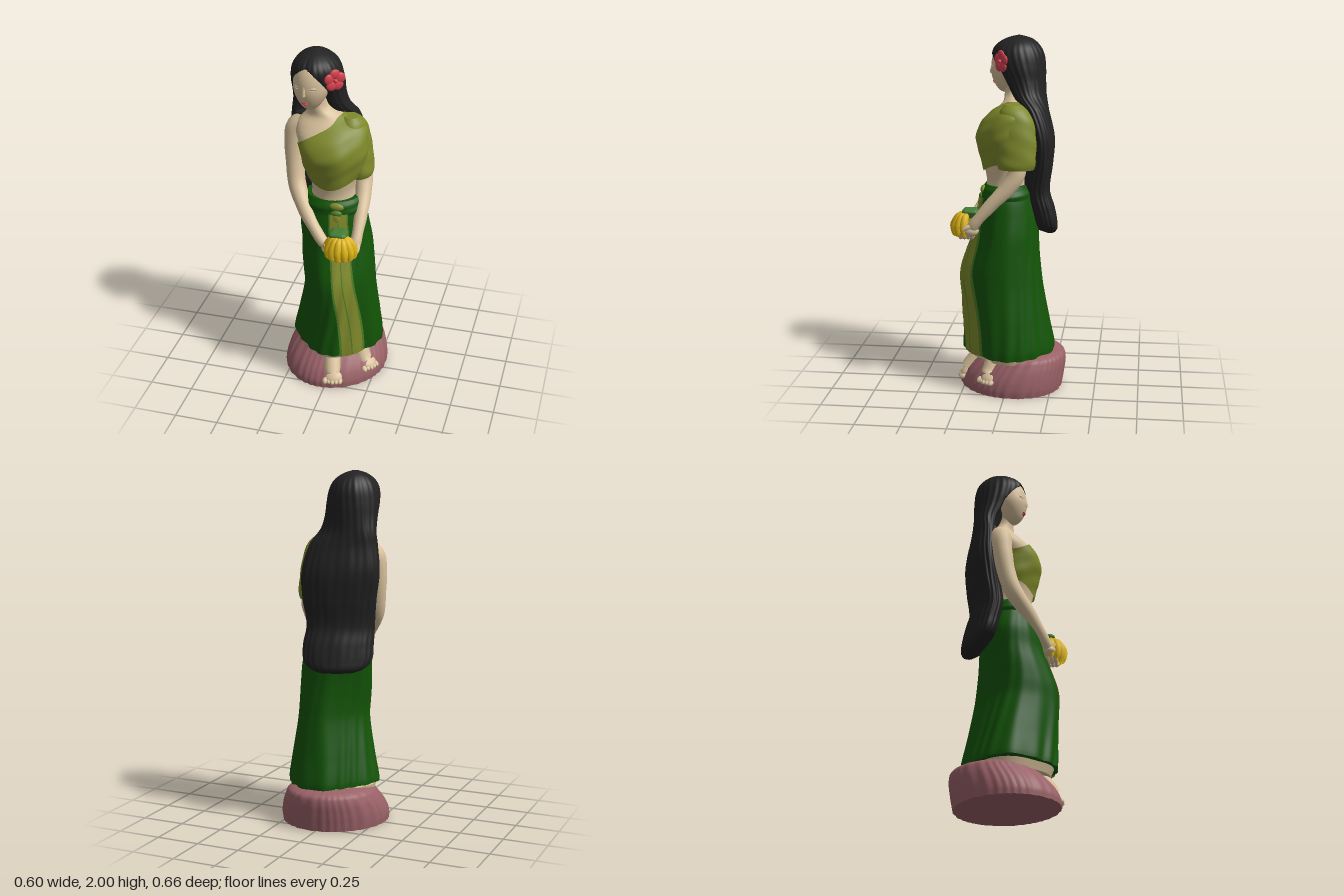
import * as THREE from 'three';

const mat = (name, color, side = THREE.FrontSide) => {
  const m = new THREE.MeshStandardMaterial({ color, side });
  m.name = name;
  return m;
};
const clamp = (v) => Math.min(1, Math.max(0, v));
const smooth = (v) => { const t = clamp(v); return t * t * (3 - 2 * t); };
const bump = (v, centre, width) => Math.exp(-(((v - centre) / width) ** 2));

// Smoothly interpolate cross-sections [y, cx, cz, rx, rz, turn] listed upwards
function sectionAt(s, y) {
  const n = s.length - 1;
  let i = 0;
  while (i < n - 1 && y > s[i + 1][0]) i++;
  const h = s[i + 1][0] - s[i][0], t = clamp((y - s[i][0]) / h);
  const val = (j, k) => s[j][k] || 0;
  const slope = (j, k) => {
    const a = Math.max(0, j - 1), b = Math.min(n, j + 1);
    return (val(b, k) - val(a, k)) / (s[b][0] - s[a][0]);
  };
  return [1, 2, 3, 4, 5].map((k) => {
    const t2 = t * t, t3 = t2 * t;
    return val(i, k) * (2 * t3 - 3 * t2 + 1) + val(i + 1, k) * (3 * t2 - 2 * t3)
      + h * (slope(i, k) * (t3 - 2 * t2 + t) + slope(i + 1, k) * (t3 - t2));
  });
}
function pointOn(s, a, y, ripple, grow = 0) {
  const [cx, cz, rx, rz, turn] = sectionAt(s, y);
  const f = ripple ? ripple(a, y) : 1;
  const u = (rx * f + grow) * Math.cos(a), v = (rz * f + grow) * Math.sin(a);
  return [cx + u * Math.cos(turn) + v * Math.sin(turn), y, cz - u * Math.sin(turn) + v * Math.cos(turn)];
}
// Index a grid of points given row by row
function gridGeometry(rows, wrap) {
  const m = rows[0].length, index = [];
  for (let i = 0; i < rows.length - 1; i++) {
    for (let j = 0; j < (wrap ? m : m - 1); j++) {
      const k = (j + 1) % m, a = i * m + j, b = a + m, c = i * m + k, d = c + m;
      index.push(a, b, c, c, b, d);
    }
  }
  const g = new THREE.BufferGeometry();
  g.setAttribute('position', new THREE.Float32BufferAttribute(rows.flat(2), 3));
  g.setIndex(index);
  g.computeVertexNormals();
  return g;
}
// Loft with optional bottom/top edges that vary with the angle
function loft(s, { ripple, cols = 64, n = 40, grow = 0, low, high, cap = true } = {}) {
  const rows = [];
  for (let i = 0; i <= n; i++) {
    const row = [];
    for (let j = 0; j < cols; j++) {
      const a = (j / cols) * Math.PI * 2;
      const y0 = low ? low(a) : s[0][0], y1 = high ? high(a) : s[s.length - 1][0];
      row.push(pointOn(s, a, y0 + (y1 - y0) * i / n, ripple, grow));
    }
    rows.push(row);
  }
  if (cap) {
    const centre = (r) => r.map(() => [0, 1, 2].map((k) => r.reduce((t, p) => t + p[k], 0) / cols));
    const first = rows[0], last = rows[n];
    rows.unshift(centre(first), first);
    rows.push(last, centre(last));
  }
  return gridGeometry(rows, true);
}
// Tube through [x, y, z, radius] points with rounded ends
function sweep(pts, sides = 14) {
  const curve = new THREE.CatmullRomCurve3(pts.map((p) => new THREE.Vector3(p[0], p[1], p[2])));
  const n = pts.length * 6, g = new THREE.TubeGeometry(curve, n, 1, sides), pos = g.attributes.position;
  const v = new THREE.Vector3();
  for (let i = 0; i <= n; i++) {
    const c = curve.getPointAt(i / n), f = curve.getUtoTmapping(i / n) * (pts.length - 1);
    const k = Math.min(pts.length - 2, Math.floor(f));
    const edge = Math.min(i, n - i) / 3;
    const round = edge < 1 ? Math.sqrt(1 - (1 - edge) ** 2) : 1;
    const r = (pts[k][3] + (pts[k + 1][3] - pts[k][3]) * smooth(f - k)) * round;
    for (let j = 0; j <= sides; j++) {
      const q = i * (sides + 1) + j;
      v.fromBufferAttribute(pos, q).sub(c).multiplyScalar(r).add(c);
      pos.setXYZ(q, v.x, v.y, v.z);
    }
  }
  return g;
}

export function createModel() {
  const root = new THREE.Group();
  root.name = 'standingWoman';
  const skin = mat('skin', 0xd8c19c), hair = mat('black hair', 0x222222);
  const olive = mat('olive cloth', 0x7f8a2b, THREE.DoubleSide), green = mat('green cloth', 0x135407, THREE.DoubleSide);
  const trim = mat('trim green', 0x4d7a26, THREE.DoubleSide), rose = mat('dusty rose base', 0x9a6268);
  const red = mat('flower red', 0xd8424f), yellow = mat('banana yellow', 0xddb414);
  const leaf = mat('stem green', 0x437c34), cream = mat('eye cream', 0xefe6d2);
  const add = (name, g, m, parent = root) => {
    const o = new THREE.Mesh(g, m);
    o.name = name;
    parent.add(o);
    return o;
  };
  const ball = (name, p, r, m, parent) => {
    const o = add(name, new THREE.SphereGeometry(1, 20, 14), m, parent);
    o.position.set(...p);
    o.scale.set(...r);
    return o;
  };

  // Wrinkled oval base set on the diagonal, sloping down at the front
  const diag = Math.PI / 4;
  add('base', loft([[0, 0, -0.01, 0.31, 0.278, diag], [0.04, 0, -0.015, 0.313, 0.28, diag], [0.1, 0, -0.035, 0.3, 0.272, diag],
    [0.17, 0, -0.07, 0.268, 0.246, diag], [0.21, 0, -0.085, 0.235, 0.215, diag], [0.225, 0, -0.09, 0.17, 0.16, diag]],
  { cols: 160, n: 24, ripple: (a, y) => 1 + 0.01 * Math.sin(34 * a + 3 * Math.sin(5 * a) + 8 * y) - 0.025 * bump(a, Math.PI, 0.5) }), rose);

  // Feet with toes
  const foot = (name, pts, tip, dir) => {
    const g = new THREE.Group();
    g.name = name;
    root.add(g);
    add('ankle', sweep(pts), skin, g);
    const yaw = Math.atan2(dir[0], dir[1]);
    const pad = ball('forefoot', [tip[0] - dir[0] * 0.03, tip[1] + 0.018, tip[2] - dir[1] * 0.03], [0.057, 0.032, 0.056], skin, g);
    pad.rotation.set(0.5, yaw, 0, 'YXZ');
    for (let i = -2; i <= 2; i++) {
      const s = i * 0.022, r = i === -2 ? 0.018 : 0.014, ahead = 0.012 - 0.005 * Math.abs(i);
      const toe = ball('toe', [tip[0] + dir[1] * s + dir[0] * ahead, tip[1], tip[2] - dir[0] * s + dir[1] * ahead], [r, r, r * 1.6], skin, g);
      toe.rotation.set(0.4, yaw, 0, 'YXZ');
    }
  };
  foot('rightFoot', [[0.015, 0.26, 0.1, 0.05], [0.02, 0.18, 0.16, 0.05], [0.033, 0.11, 0.215, 0.05], [0.042, 0.07, 0.245, 0.045]], [0.048, 0.048, 0.262], [0.1, 0.99]);
  foot('leftFoot', [[0.14, 0.26, 0.04, 0.05], [0.165, 0.18, 0.07, 0.05], [0.19, 0.12, 0.088, 0.05], [0.21, 0.095, 0.097, 0.045]], [0.233, 0.078, 0.106], [0.75, 0.66]);

  // Long skirt, pinched on the diagonals, folds deepening toward the hem
  const skirt = [[0.215, 0.015, 0, 0.258, 0.265], [0.25, 0.015, 0, 0.26, 0.266], [0.4, 0.025, 0.015, 0.235, 0.25],
    [0.6, 0.035, 0.037, 0.203, 0.235], [0.7, 0.03, 0.04, 0.202, 0.225], [0.8, 0.02, 0.03, 0.203, 0.205],
    [0.9, 0.01, 0.015, 0.2, 0.185], [1, -0.005, 0.01, 0.195, 0.172], [1.1, -0.005, 0.01, 0.175, 0.15], [1.18, -0.01, 0.012, 0.152, 0.124]];
  const pinch = (a, y) => {
    const s = Math.sin(2 * a);
    return 1 - smooth((1.15 - y) / 0.35) * (0.08 * s * s + 0.05 * s) - 0.06 * smooth((0.8 - y) / 0.6) * bump(a, 2.36, 0.45);
  };
  const folds = (a, y) => pinch(a, y) + 0.02 * (1.25 - y) * Math.sin(15 * a + 5 * y + 2 * Math.sin(3 * a + 4 * y));
  add('skirt', loft(skirt, { cols: 128, n: 60, ripple: folds, low: (a) => 0.222 - 0.014 * Math.cos(a) }), green);
  add('underskirt', loft([[0.18, 0.015, -0.01, 0.235, 0.235], [0.225, 0.015, -0.005, 0.247, 0.25]], { n: 4, ripple: pinch }), skin);
  add('waistband', loft([[1.1, -0.005, 0.01, 0.175, 0.15], [1.13, -0.007, 0.012, 0.177, 0.15], [1.16, -0.01, 0.013, 0.167, 0.138], [1.18, -0.01, 0.012, 0.152, 0.124]],
    { ripple: (a, y) => 1 + 0.012 * Math.sin(130 * y + 2 * a) }), green);

  // Front panel laid over the skirt: trim below, two raised strips
  const strip = (u0, u1, lift) => {
    const rows = [];
    for (let i = 0; i <= 50; i++) {
      const t = i / 50, y = 0.212 + 0.9 * t, row = [];
      const [cx, , rx] = sectionAt(skirt, y);
      const left = 0.09 - 0.09 * smooth(t * 0.9), width = 0.108 - 0.018 * t;
      for (let j = 0; j <= 6; j++) {
        const x = left + width * (u0 + (u1 - u0) * (1 - j / 6)) - cx;
        const a = Math.acos(x / (rx * pinch(Math.acos(x / rx), y)));
        row.push(pointOn(skirt, a, y, folds, lift));
      }
      rows.push(row);
    }
    return gridGeometry(rows, false);
  };
  add('panelTrim', strip(-0.05, 1.05, 0.006), trim);
  add('panelStrip', strip(0.06, 0.48, 0.011), olive);
  add('panelStrip', strip(0.53, 0.96, 0.011), olive);
  ball('beltKnot', [0.036, 1.15, 0.14], [0.044, 0.024, 0.02], olive);
  ball('beltTuck', [0.036, 1.115, 0.15], [0.036, 0.02, 0.018], trim);
  ball('beltTail', [0.037, 1.075, 0.157], [0.03, 0.045, 0.016], olive);

  // Torso and neck
  const torso = [[1.1, -0.01, 0.015, 0.14, 0.12], [1.2, -0.01, 0.015, 0.122, 0.113], [1.27, -0.01, 0.02, 0.13, 0.12],
    [1.36, -0.01, 0.02, 0.163, 0.143], [1.45, -0.01, 0.018, 0.18, 0.158], [1.53, -0.03, 0, 0.195, 0.147],
    [1.59, -0.04, -0.02, 0.182, 0.11], [1.63, -0.065, -0.03, 0.12, 0.075], [1.67, -0.1, -0.02, 0.066, 0.058], [1.74, -0.12, -0.01, 0.058, 0.055]];
  const bust = (a, y) => 1 + bump(y, 1.44, 0.07) * (0.09 * bump(a, 2.1, 0.4) + 0.02 * bump(a, 1.2, 0.3))
    - 0.08 * bump(a, 0.75, 0.4) * smooth((y - 1.25) / 0.1);
  add('torso', loft(torso, { ripple: bust }), skin);

  // One-shouldered wrap with its sleeve
  const creases = (a, y) => bust(a, y) + 0.007 * Math.sin(70 * y + 5 * a);
  add('wrapTop', loft(torso, { cols: 96, n: 36, grow: 0.011, cap: false, ripple: creases,
    low: (a) => 1.25 + 0.06 * Math.cos(a) ** 2, high: (a) => 1.56 + 0.085 * Math.cos(a) + 0.03 * Math.sin(a) ** 2 }), olive);
  add('sleeve', loft([[1.285, 0.132, -0.052, 0.062, 0.098], [1.31, 0.133, -0.052, 0.068, 0.106], [1.36, 0.13, -0.052, 0.067, 0.11],
    [1.45, 0.117, -0.05, 0.07, 0.112], [1.55, 0.1, -0.045, 0.068, 0.1], [1.605, 0.085, -0.035, 0.062, 0.077], [1.635, 0.075, -0.03, 0.042, 0.045]],
  { ripple: (a, y) => 1 + 0.015 * Math.sin(60 * y - 3 * a) }), olive);

  // Arms and cupped hands
  add('rightArm', sweep([[-0.18, 1.57, -0.035, 0.06], [-0.23, 1.535, -0.025, 0.063], [-0.242, 1.44, -0.012, 0.057], [-0.235, 1.32, 0.008, 0.052],
    [-0.215, 1.21, 0.043, 0.05], [-0.15, 1.105, 0.115, 0.044], [-0.07, 1.01, 0.18, 0.034], [-0.02, 0.96, 0.21, 0.032], [0.02, 0.935, 0.22, 0.03]], 18), skin);
  add('leftArm', sweep([[0.13, 1.36, -0.06, 0.05], [0.145, 1.26, -0.055, 0.05], [0.155, 1.18, -0.005, 0.045], [0.162, 1.09, 0.08, 0.038],
    [0.162, 1.01, 0.15, 0.031], [0.158, 0.965, 0.185, 0.033], [0.145, 0.935, 0.2, 0.03]], 18), skin);
  ball('rightPalm', [0.022, 0.93, 0.222], [0.047, 0.03, 0.045], skin);
  ball('leftPalm', [0.148, 0.935, 0.205], [0.04, 0.036, 0.05], skin);
  for (let i = 0; i < 4; i++) {
    const z = 0.192 + i * 0.021, r = 0.0125;
    add('rightFinger', sweep([[0.015, 0.915, z, r], [0.06, 0.888, z + 0.005, r], [0.105, 0.888, z + 0.005, r * 0.8]], 8), skin);
    add('leftFinger', sweep([[0.165, 0.925, z, r], [0.135, 0.893, z + 0.005, r], [0.085, 0.88, z + 0.008, r * 0.8]], 8), skin);
  }
  add('rightThumb', sweep([[-0.01, 0.955, 0.225, 0.014], [0.005, 0.965, 0.25, 0.012], [0.015, 0.95, 0.268, 0.01]], 8), skin);
  add('leftThumb', sweep([[0.175, 0.965, 0.195, 0.015], [0.18, 0.955, 0.22, 0.014], [0.178, 0.94, 0.245, 0.01]], 8), skin);

  // Fan of bananas under a square, creased stem
  for (let i = 0; i < 7; i++) {
    const a = 0.15 + i * 0.47, dx = Math.cos(a), dz = Math.sin(a);
    const p = [[0.02, 1.015, 0.016], [0.052, 1, 0.021], [0.075, 0.955, 0.025], [0.075, 0.915, 0.02], [0.066, 0.89, 0.008]];
    add('banana', sweep(p.map(([d, y, r]) => [0.087 + dx * d, y, 0.226 + dz * d, r]), 10), yellow);
  }
  add('bananaStem', loft([[0.995, 0.075, 0.215, 0.036, 0.036], [1.015, 0.07, 0.213, 0.05, 0.047], [1.03, 0.07, 0.212, 0.055, 0.051],
    [1.042, 0.07, 0.212, 0.045, 0.042], [1.046, 0.07, 0.212, 0.03, 0.028], [1.038, 0.07, 0.212, 0.008, 0.008]].slice(0, 5),
  { cols: 48, n: 20, ripple: (a) => 1 - 0.1 * Math.cos(4 * a) + 0.02 * Math.cos(8 * a) }), leaf);

  // Head, turned slightly to its right
  const head = new THREE.Group();
  head.name = 'head';
  head.position.set(-0.132, 1.825, 0.008);
  head.rotation.y = -0.16;
  root.add(head);
  const skull = new THREE.SphereGeometry(1, 40, 30), sp = skull.attributes.position;
  for (let i = 0; i < sp.count; i++) {
    const y = sp.getY(i), jaw = 1 - 0.16 * smooth(-y);
    sp.setXYZ(i, sp.getX(i) * 0.102 * jaw, y * 0.147, sp.getZ(i) * 0.11 * jaw + (y < 0 ? -y * 0.026 : 0));
  }
  skull.computeVertexNormals();
  add('face', skull, skin, head);
  add('nose', sweep([[0, 0.015, 0.1, 0.009], [0, -0.02, 0.109, 0.01], [0, -0.045, 0.112, 0.013]], 10), skin, head);
  ball('upperLip', [0, -0.084, 0.095], [0.019, 0.005, 0.009], red, head);
  ball('lowerLip', [0, -0.093, 0.091], [0.014, 0.005, 0.009], red, head);
  for (const s of [-1, 1]) {
    ball('eyelid', [s * 0.045, 0.001, 0.09], [0.023, 0.01, 0.011], skin, head).rotation.y = s * 0.45;
    ball('eye', [s * 0.045, -0.006, 0.094], [0.018, 0.004, 0.008], cream, head).rotation.y = s * 0.45;
  }

  // Long hair, parted over the face and falling down the back
  const locks = [[0.895, -0.08, -0.2, 0.09, 0.025, 0.4], [0.915, -0.08, -0.19, 0.145, 0.06, 0.4], [0.96, -0.076, -0.168, 0.188, 0.08, 0.42],
    [1.05, -0.071, -0.145, 0.194, 0.088, 0.42], [1.15, -0.075, -0.122, 0.188, 0.085, 0.4], [1.3, -0.076, -0.14, 0.203, 0.088, 0.34],
    [1.45, -0.082, -0.148, 0.214, 0.092, 0.26], [1.6, -0.09, -0.123, 0.19, 0.088, 0.16], [1.68, -0.109, -0.095, 0.16, 0.1],
    [1.75, -0.115, -0.073, 0.148, 0.119], [1.83, -0.116, -0.05, 0.146, 0.141], [1.9, -0.118, -0.037, 0.135, 0.145],
    [1.95, -0.12, -0.035, 0.108, 0.119], [1.985, -0.125, -0.04, 0.06, 0.068], [2, -0.125, -0.04, 0.012, 0.012]];
  add('hair', loft(locks, { cols: 180, n: 140, ripple: (a, y) => {
    const open = 0.87 * Math.sqrt(clamp((1.925 - y) / 0.13));
    const face = y > 1.62 ? smooth((open - Math.abs(a - 1.8)) / 0.12) : 0;
    const parting = 0.03 * bump(a, 1.8, 0.08) * smooth((y - 1.85) / 0.08);
    const strands = 0.01 * Math.sin(24 * a + 3 * Math.sin(5 * y)) + 0.01 * Math.sin(9 * a - 9 * y);
    return (1 + strands * smooth((2 - y) / 0.08) - parting) * (1 - 0.3 * face);
  } }), hair);

  // Five-petalled flower beside the face
  const flower = new THREE.Group();
  flower.name = 'flower';
  flower.position.set(0.004, 1.865, 0.047);
  flower.rotation.y = 0.71;
  root.add(flower);
  for (let i = 0; i < 5; i++) {
    const a = Math.PI / 2 + i * Math.PI * 0.4;
    ball('petal', [0.035 * Math.cos(a), 0.035 * Math.sin(a), 0], [0.028, 0.03, 0.012], red, flower).rotation.z = a;
  }
  ball('flowerCentre', [0, 0, 0.008], [0.012, 0.012, 0.014], red, flower);
  ball('flowerBack', [0, 0, -0.012], [0.025, 0.025, 0.02], red, flower);
  return root;
}
